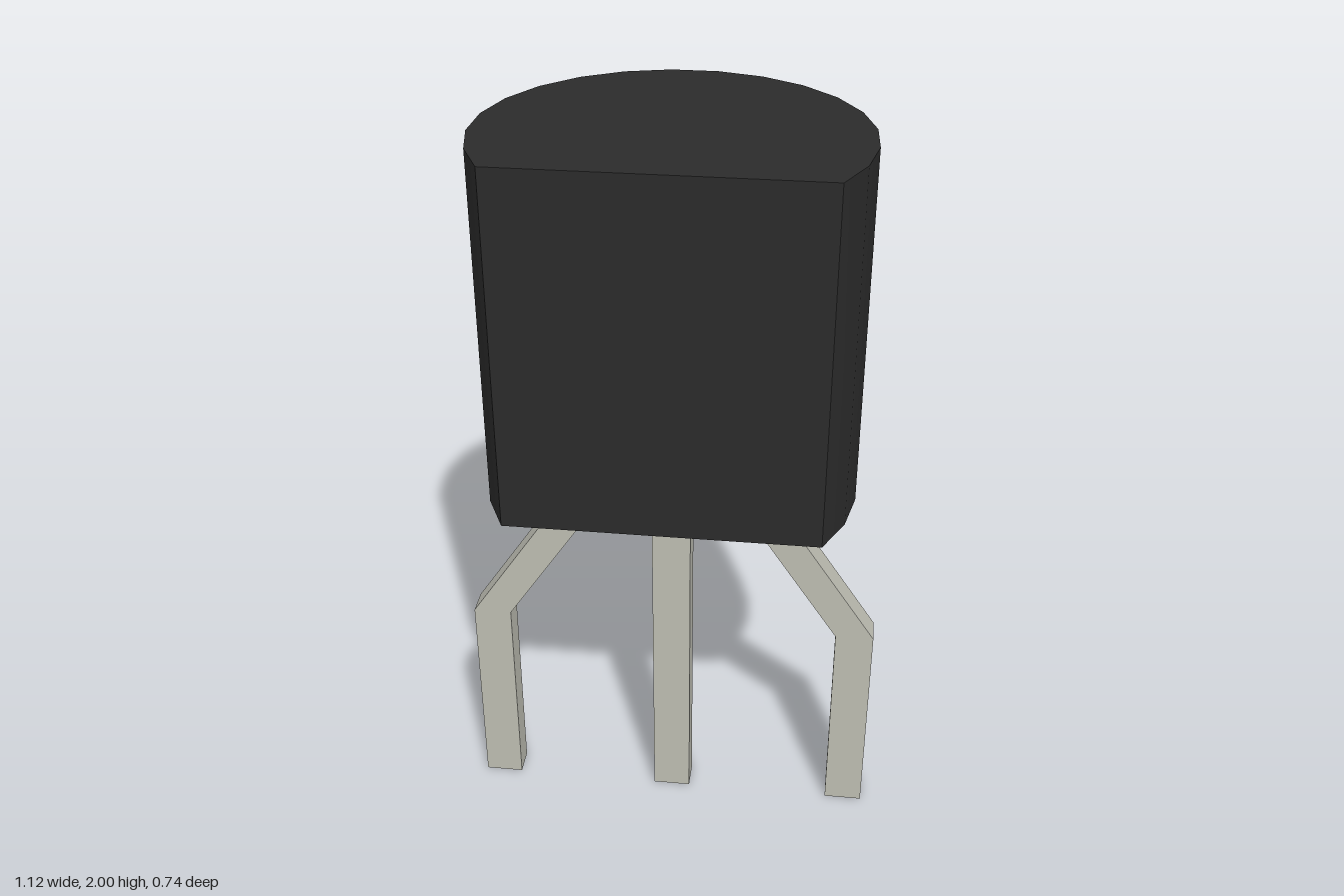
import * as THREE from 'three';
import { toCreasedNormals } from 'three/addons/utils/BufferGeometryUtils.js';

const BODY_BOTTOM = 1.045, BODY_TOP = 2;
const AXIS_Z = 0.107, RADIUS = 0.484;
const LEG_HALF = 0.052, LEG_DEPTH = 0.075;

// D-shaped prism: a 17-sided arc closed by the flat front
function bodyGeometry() {
  const sides = 17, corner = THREE.MathUtils.degToRad(57);
  const points = [];
  for (let i = 0; i <= sides; i++) {
    const a = corner + (i / sides) * (2 * Math.PI - 2 * corner); // measured from +z
    points.push(new THREE.Vector2(RADIUS * Math.sin(a), -(AXIS_Z + RADIUS * Math.cos(a))));
  }
  const geometry = new THREE.ExtrudeGeometry(new THREE.Shape(points), {
    depth: BODY_TOP - BODY_BOTTOM, bevelEnabled: false,
  });
  geometry.rotateX(-Math.PI / 2).translate(0, BODY_BOTTOM, 0);
  return toCreasedNormals(geometry, 0.5);
}

// Flat strip of constant width following a centre line of [x, y] points
function legGeometry(path) {
  const edge = (side) => path.map(([x, y]) => new THREE.Vector2(x + side * LEG_HALF, y));
  const outline = [...edge(1), ...edge(-1).reverse()];
  const geometry = new THREE.ExtrudeGeometry(new THREE.Shape(outline), {
    depth: LEG_DEPTH, bevelEnabled: false,
  });
  return geometry.translate(0, 0, AXIS_Z - LEG_DEPTH / 2);
}

export function createModel() {
  const model = new THREE.Group();
  model.name = 'transistor';
  const plastic = new THREE.MeshStandardMaterial({ color: 0x2b2b2b });
  const metal = new THREE.MeshStandardMaterial({ color: 0xbdbdb2 });

  const add = (name, geometry, material) => {
    const mesh = new THREE.Mesh(geometry, material);
    mesh.name = name;
    model.add(mesh);
  };

  add('body', bodyGeometry(), plastic);

  // Straight middle leg and two outer legs bent outward
  add('middleLeg', legGeometry([[0, 0], [0, BODY_BOTTOM]]), metal);
  for (const [name, s] of [['leftLeg', 1], ['rightLeg', -1]]) {
    const path = [[0.508, 0], [0.508, 0.595], [0.253, 0.975], [0.253, BODY_BOTTOM]];
    add(name, legGeometry(path.map(([x, y]) => [s * x, y])), metal);
  }
  return model;
}
